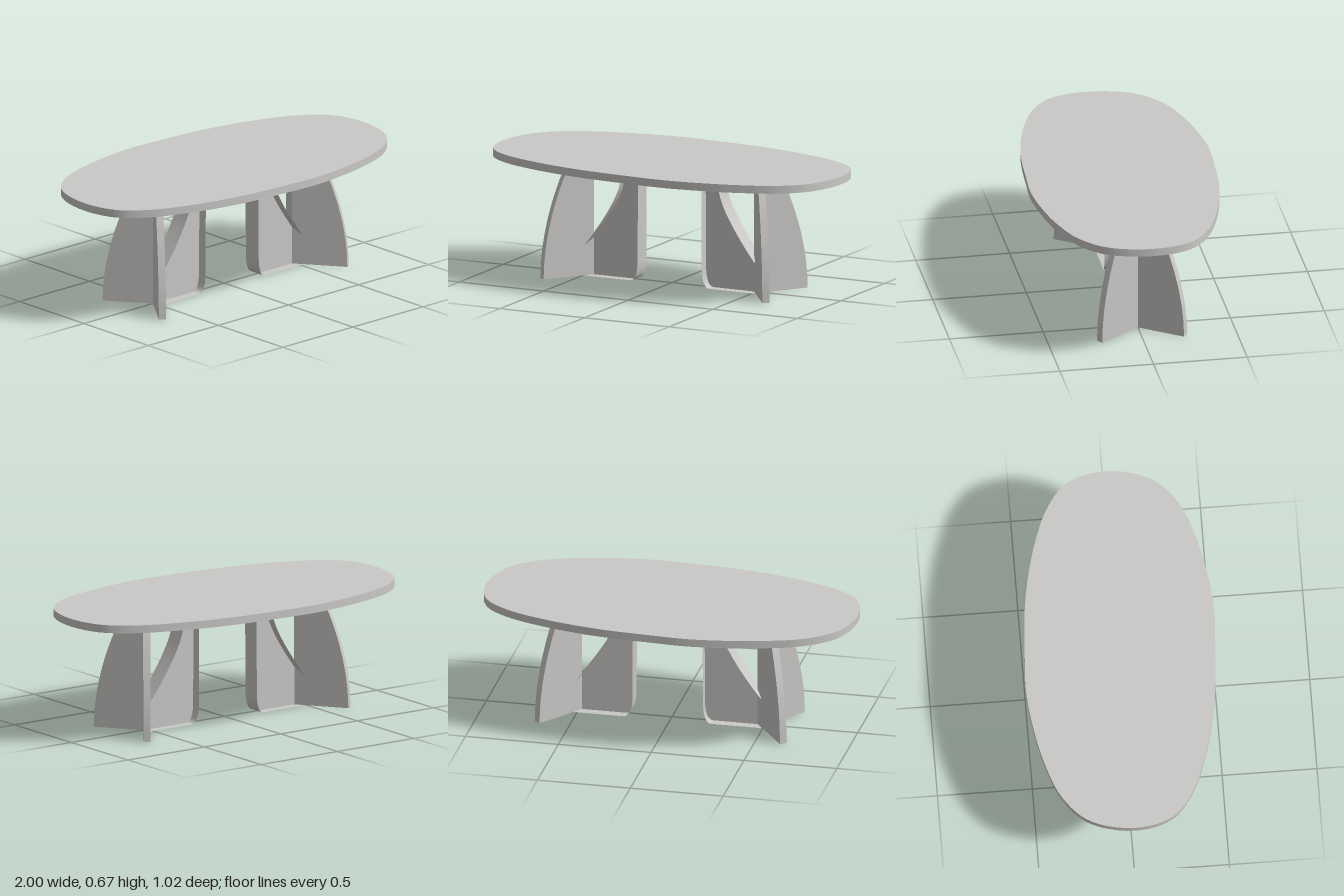
import * as THREE from 'three';
import { toCreasedNormals } from 'three/addons/utils/BufferGeometryUtils.js';

const stone = new THREE.MeshStandardMaterial({ color: 0xcbc9c7, side: THREE.DoubleSide });
stone.name = 'warm grey';

const TOP_Y = 0.625, TOP_H = 0.042;
const APEX = 0.473, ANGLE = 0.944, THICK = 0.038, FLANGE = 0.05;
const v2 = (p) => new THREE.Vector2(p[0], p[1]);

function addMesh(parent, geometry, name) {
  const mesh = new THREE.Mesh(geometry, stone);
  mesh.name = name;
  parent.add(mesh);
  return mesh;
}

// Soft, slightly skewed oval slab; the second half is the first turned by 180 degrees
function tabletopGeometry() {
  const half = [[1, 0], [0.955, 0.2], [0.83, 0.315], [0.6, 0.41], [0.3, 0.477], [0, 0.502],
    [-0.2, 0.51], [-0.4, 0.488], [-0.6, 0.445], [-0.8, 0.367], [-0.94, 0.235]];
  const loop = [...half, ...half.map(([x, y]) => [-x, -y])];
  const curve = new THREE.CatmullRomCurve3(loop.map(([x, y]) => new THREE.Vector3(x, y, 0)), true);
  const shape = new THREE.Shape(curve.getPoints(120).slice(0, -1).map((p) => new THREE.Vector2(p.x, p.y)));
  const geo = new THREE.ExtrudeGeometry(shape, { depth: TOP_H, bevelEnabled: false });
  geo.rotateX(-Math.PI / 2).translate(0, TOP_Y, 0);
  return toCreasedNormals(geo, 0.6);
}

// Splayed fin with a bowed outer edge
function finGeometry() {
  const shape = new THREE.Shape();
  shape.moveTo(0, 0);
  shape.lineTo(0.297, 0);
  shape.splineThru([[0.292, 0.1], [0.277, 0.21], [0.247, 0.34], [0.2, 0.48], [0.135, TOP_Y]].map(v2));
  shape.lineTo(0, TOP_Y);
  const geo = new THREE.ExtrudeGeometry(shape, { depth: THICK, bevelEnabled: false, curveSegments: 24 });
  return toCreasedNormals(geo, 0.6);
}

// Band of constant width following a path in the xy plane
function bandGeometry(points) {
  const pos = [], index = [];
  points.forEach((p, i) => {
    pos.push(p.x, p.y, -FLANGE, p.x, p.y, FLANGE);
    if (i) {
      const a = 2 * i - 2;
      index.push(a, a + 1, a + 2, a + 1, a + 3, a + 2);
    }
  });
  const geo = new THREE.BufferGeometry();
  geo.setAttribute('position', new THREE.Float32BufferAttribute(pos, 3));
  geo.setIndex(index);
  return toCreasedNormals(geo, 0.6);
}

function makeBase(name) {
  const base = new THREE.Group();
  base.name = name;

  // Two fins meeting in a V
  for (const side of [1, -1]) {
    const geo = finGeometry();
    if (side > 0) geo.translate(0, 0, -THICK);
    const fin = addMesh(base, geo, side > 0 ? 'frontFin' : 'backFin');
    fin.rotation.y = -side * ANGLE;
    fin.position.x = APEX;
  }

  // Foot and inner end of the bracket, with a rounded lower corner
  const outer = new THREE.Path();
  outer.moveTo(0.505, 0);
  outer.lineTo(0.235, 0);
  outer.bezierCurveTo(0.205, 0, 0.192, 0.04, 0.19, 0.1);
  outer.lineTo(0.187, TOP_Y);
  const outerPts = outer.getPoints(10);

  // Swept cut on the side towards the fins
  const cut = new THREE.Path();
  cut.moveTo(0.29, TOP_Y);
  cut.lineTo(0.29, 0.55);
  cut.bezierCurveTo(0.29, 0.47, 0.37, 0.34, APEX, 0.202);
  cut.lineTo(0.5, 0.167);
  const cutPts = cut.getPoints(16);

  addMesh(base, bandGeometry(outerPts), 'bracketFoot');
  addMesh(base, bandGeometry(cutPts), 'bracketSweep');
  addMesh(base, new THREE.ShapeGeometry(new THREE.Shape([...outerPts, ...cutPts])), 'bracketWeb');
  return base;
}

export function createModel() {
  const table = new THREE.Group();
  table.name = 'table';
  addMesh(table, tabletopGeometry(), 'tabletop');

  const left = makeBase('leftBase');
  const right = makeBase('rightBase');
  right.rotation.y = Math.PI;
  left.position.x = right.position.x = 0.012;
  table.add(left, right);
  return table;
}
